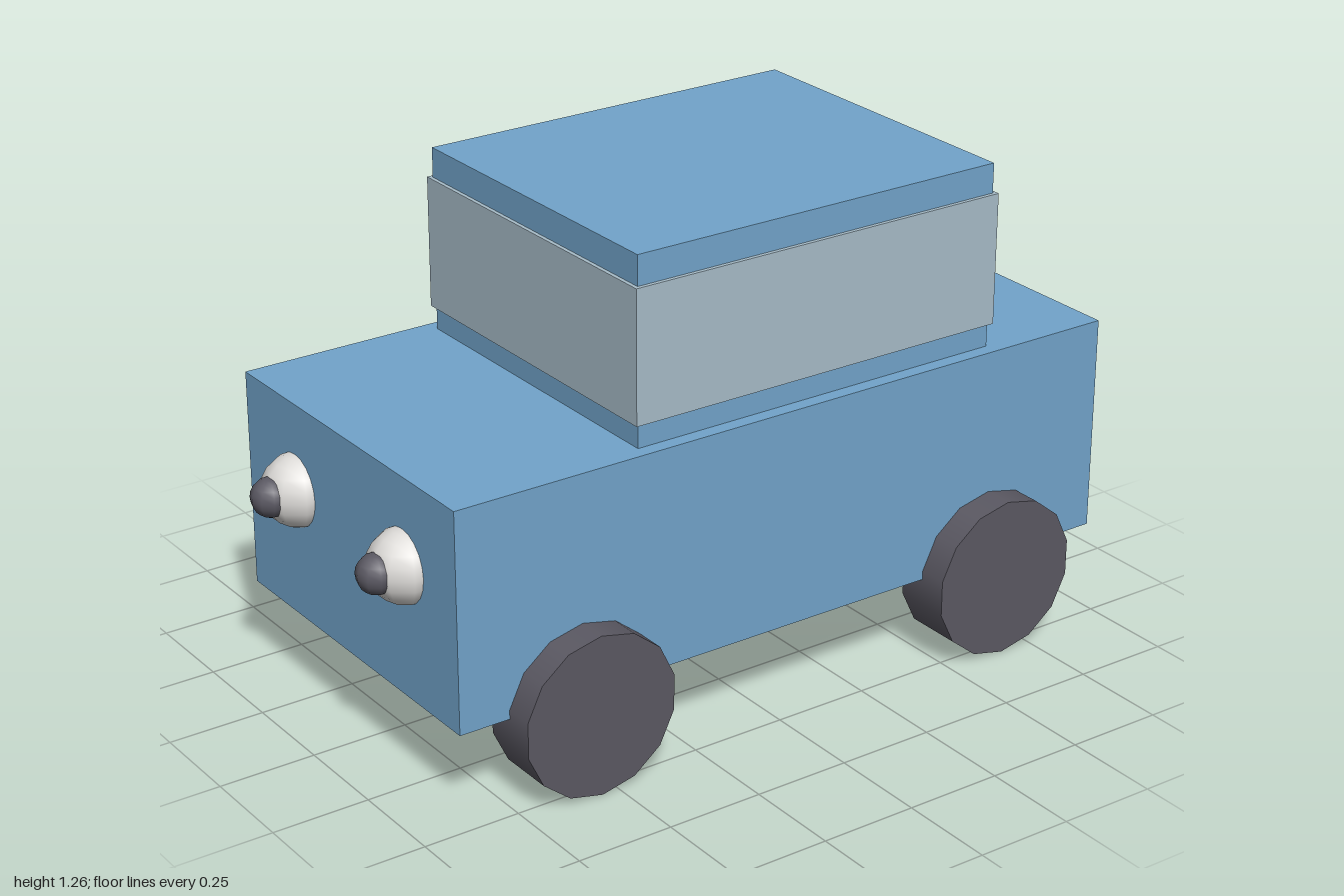
import * as THREE from 'three';

const paint = (name, color) => {
  const m = new THREE.MeshStandardMaterial({ color });
  m.name = name;
  return m;
};

export function createModel() {
  const blue = paint('body blue', 0x72a4ca);
  const glass = paint('window grey', 0xa7bcc8);
  const dark = paint('dark grey', 0x5b5963);
  const white = paint('eye white', 0xdddbd8);

  const model = new THREE.Group();
  model.name = 'car';

  const add = (name, geometry, material, x, y, z) => {
    const mesh = new THREE.Mesh(geometry, material);
    mesh.name = name;
    mesh.position.set(x, y, z);
    model.add(mesh);
  };

  // Box given by its half width and its y and z ranges
  const box = (name, material, halfWidth, y0, y1, z0, z1) =>
    add(name, new THREE.BoxGeometry(halfWidth * 2, y1 - y0, z1 - z0), material,
      0, (y0 + y1) / 2, (z0 + z1) / 2);

  box('body', blue, 0.469, 0.23, 0.79, -1, 0.88);
  box('cabin', blue, 0.432, 0.79, 1.262, -0.667, 0.365);
  box('windowBand', glass, 0.442, 0.85, 1.186, -0.677, 0.375);

  // Fourteen-sided wheels, with a corner at top and bottom
  const wheel = new THREE.CylinderGeometry(0.207, 0.207, 0.15, 14);
  wheel.rotateX(Math.PI / 2).rotateY(Math.PI / 2);

  // Low-poly eyeballs and pupils, with a corner pointing forward
  const ball = (r) => new THREE.SphereGeometry(r, 10, 10).rotateY(Math.PI / 2);
  const eyeball = ball(0.093);
  const pupil = ball(0.05);

  for (const [side, s] of [['left', 1], ['right', -1]]) {
    add(side + 'FrontWheel', wheel, dark, s * 0.47, 0.207, 0.545);
    add(side + 'RearWheel', wheel, dark, s * 0.47, 0.207, -0.662);
    add(side + 'Eye', eyeball, white, s * 0.243, 0.566, 0.873);
    add(side + 'Pupil', pupil, dark, s * 0.243, 0.566, 0.949);
  }

  model.position.x = -0.002;
  return model;
}
